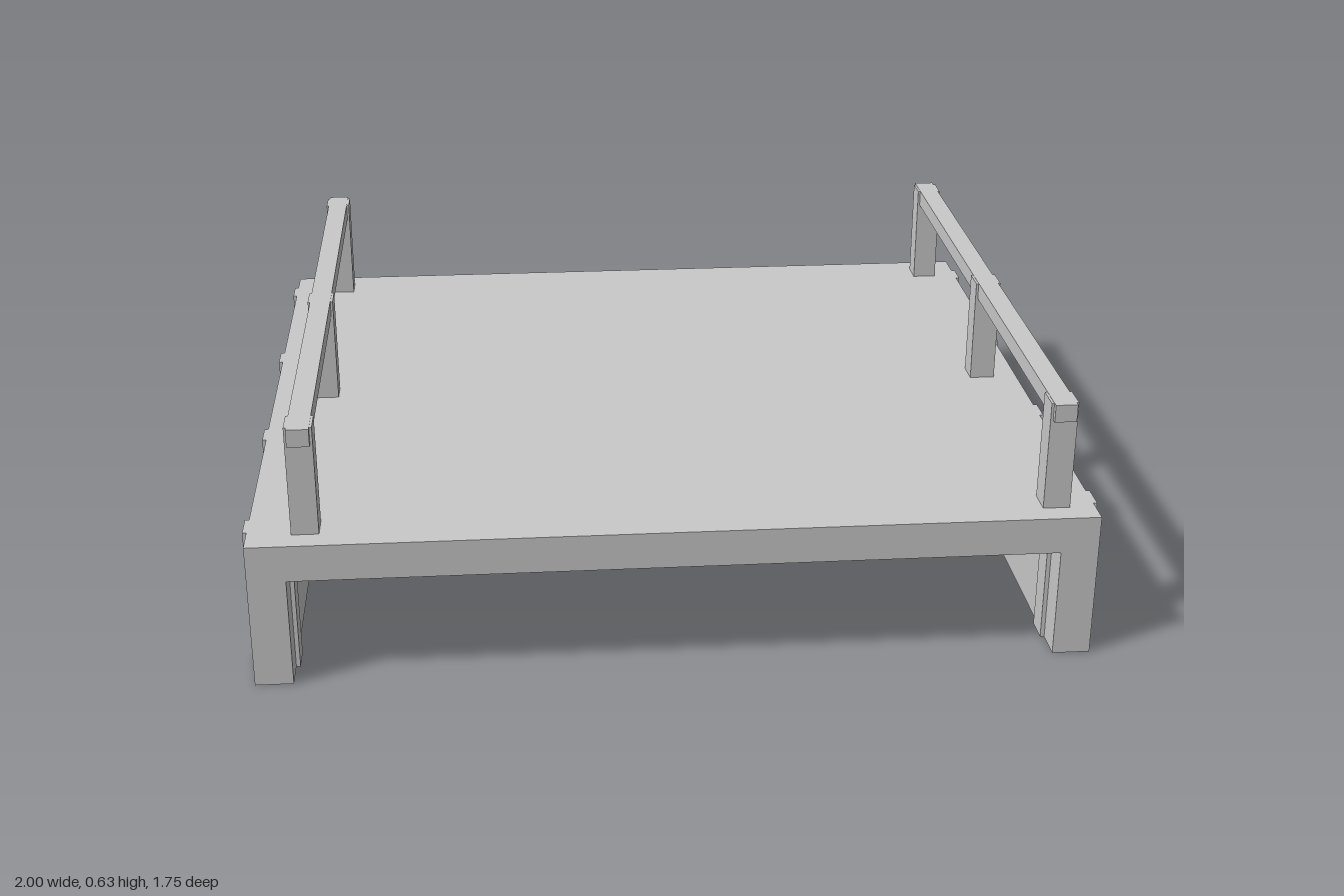
import * as THREE from 'three';

export function createModel() {
  const model = new THREE.Group();
  const gray = new THREE.MeshStandardMaterial({ color: 0xc9c9c9, side: THREE.DoubleSide });
  gray.name = 'plain gray';

  // Hollow box, open at the bottom, given by its limits on each axis
  const shell = (name, [x0, x1], [y0, y1], [z0, z1], parent = model) => {
    const geometry = new THREE.BoxGeometry(x1 - x0, y1 - y0, z1 - z0);
    const index = Array.from(geometry.index.array);
    index.splice(18, 6); // drop the bottom face
    geometry.setIndex(index);
    geometry.clearGroups();
    const mesh = new THREE.Mesh(geometry, gray);
    mesh.position.set((x0 + x1) / 2, (y0 + y1) / 2, (z0 + z1) / 2);
    mesh.name = name;
    parent.add(mesh);
  };
  const around = (c, half) => [c - half, c + half];

  // Deck with its front and back edges turned down
  shell('deck', [-0.9, 0.9], [0.27, 0.36], [-0.875, 0.875]);

  // Cross beams under the deck
  for (const z of [-0.705, -0.16, 0.385]) {
    shell('crossBeam', [-0.9, 0.9], [0.095, 0.27], around(z, 0.035));
  }

  // Side walls with upright ribs
  for (const side of [-1, 1]) {
    shell('sideWall', around(side * 0.945, 0.045), [0, 0.36], [-0.875, 0.875]);
    for (const z of [-0.765, -0.255, 0.255, 0.765]) {
      shell('sideRib', around(side * 0.945, 0.055), [0, 0.359], around(z, 0.033));
    }
  }

  // Railings: three posts and a slightly narrower top rail each
  for (const x of [-0.855, 0.897]) {
    const railing = new THREE.Group();
    railing.name = 'railing';
    model.add(railing);
    for (const z of [-0.785, 0, 0.785]) {
      shell('railPost', around(x, 0.032), [0.36, 0.629], around(z, 0.033), railing);
    }
    shell('topRail', around(x, 0.026), [0.587, 0.63], [-0.832, 0.832], railing);
  }
  return model;
}
